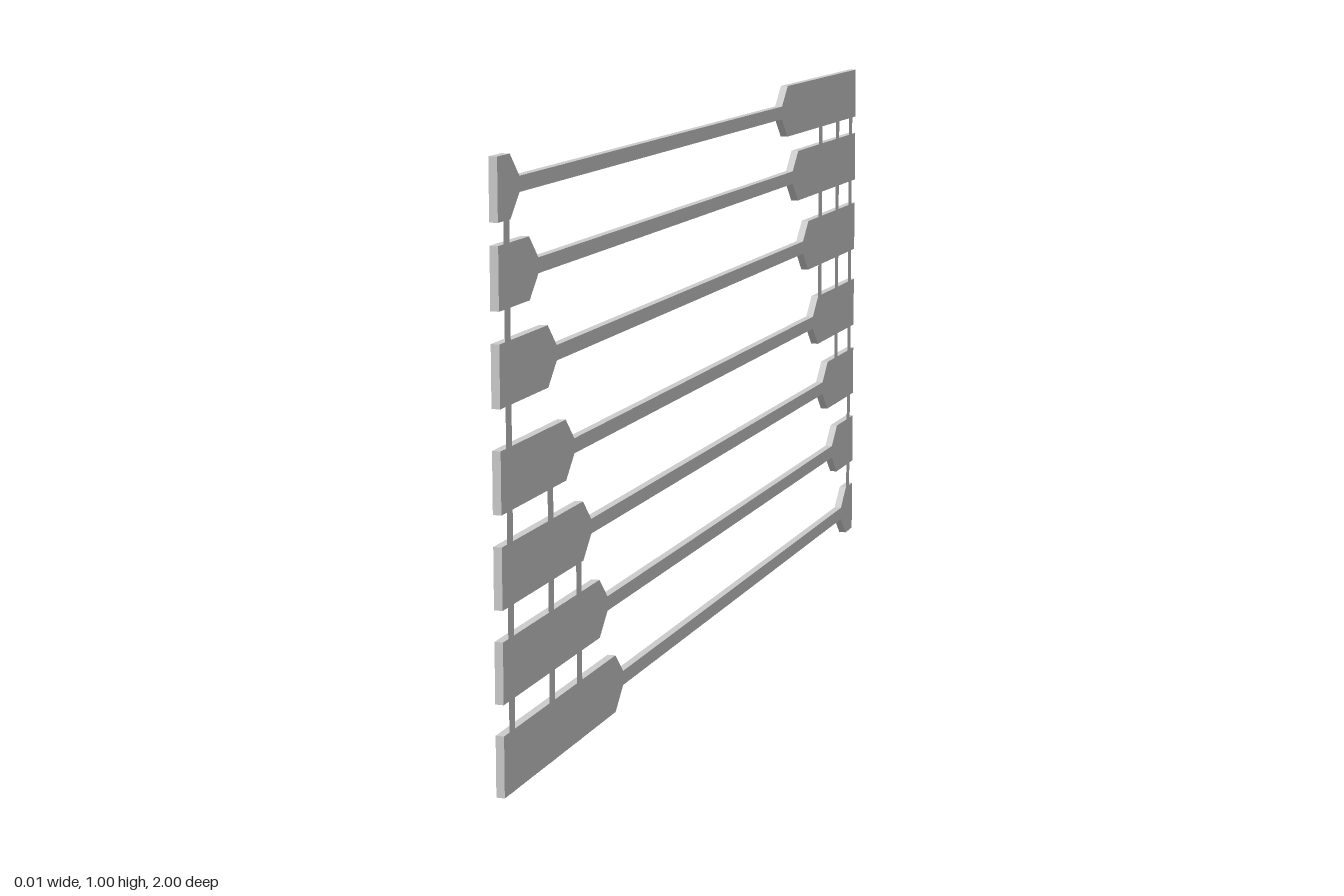
import * as THREE from 'three';

const THICK = 0.0142;
const material = new THREE.MeshStandardMaterial({ color: 0xcccccc, flatShading: true });
const thinMaterial = new THREE.MeshStandardMaterial({ color: 0xcccccc, side: THREE.DoubleSide });

// Flat slat with wide paddle ends tapering into a narrow rod, outlined in (z, y).
function slat(yMid, frontEnd, backEnd) {
  const wide = 0.05, narrow = 0.0125, taper = 0.038;
  const upper = [
    [1, wide], [frontEnd, wide], [frontEnd - taper, narrow],
    [backEnd + taper, narrow], [backEnd, wide], [-1, wide],
  ];
  const lower = upper.map(([z, y]) => [z, -y]).reverse();
  const shape = new THREE.Shape([...upper, ...lower].map(([z, y]) => new THREE.Vector2(z, yMid + y)));
  const geometry = new THREE.ExtrudeGeometry(shape, { depth: THICK, bevelEnabled: false });
  geometry.translate(0, 0, -THICK / 2).rotateY(-Math.PI / 2);
  return new THREE.Mesh(geometry, material);
}

// Paper-thin upright strip lying on the +x face of the slats.
function strip(z, y0, y1) {
  const geometry = new THREE.PlaneGeometry(0.024, y1 - y0).rotateY(Math.PI / 2);
  const mesh = new THREE.Mesh(geometry, thinMaterial);
  mesh.position.set(THICK / 2 + 0.0003, (y0 + y1) / 2, z);
  return mesh;
}

export function createModel() {
  const model = new THREE.Group();
  model.name = 'slattedPanel';

  // Seven slats, top to bottom: front paddles grow while back paddles shrink
  [0.95, 0.815, 0.665, 0.5, 0.35, 0.2, 0.05].forEach((y, i) => {
    const mesh = slat(y, 0.95 - 0.075 * i, -0.5 - 0.075 * i);
    mesh.name = `slat${i + 1}`;
    model.add(mesh);
  });

  // Upright connecting strips at both ends: [z, bottom, top]
  const strips = {
    frontStrip: [[0.967, 0, 1], [0.796, 0, 0.55], [0.672, 0, 0.4]],
    backStrip: [[-0.963, 0, 1], [-0.862, 0.3, 1], [-0.735, 0.45, 1]],
  };
  for (const [name, list] of Object.entries(strips)) {
    list.forEach((s, i) => {
      const mesh = strip(...s);
      mesh.name = `${name}${i + 1}`;
      model.add(mesh);
    });
  }
  return model;
}
